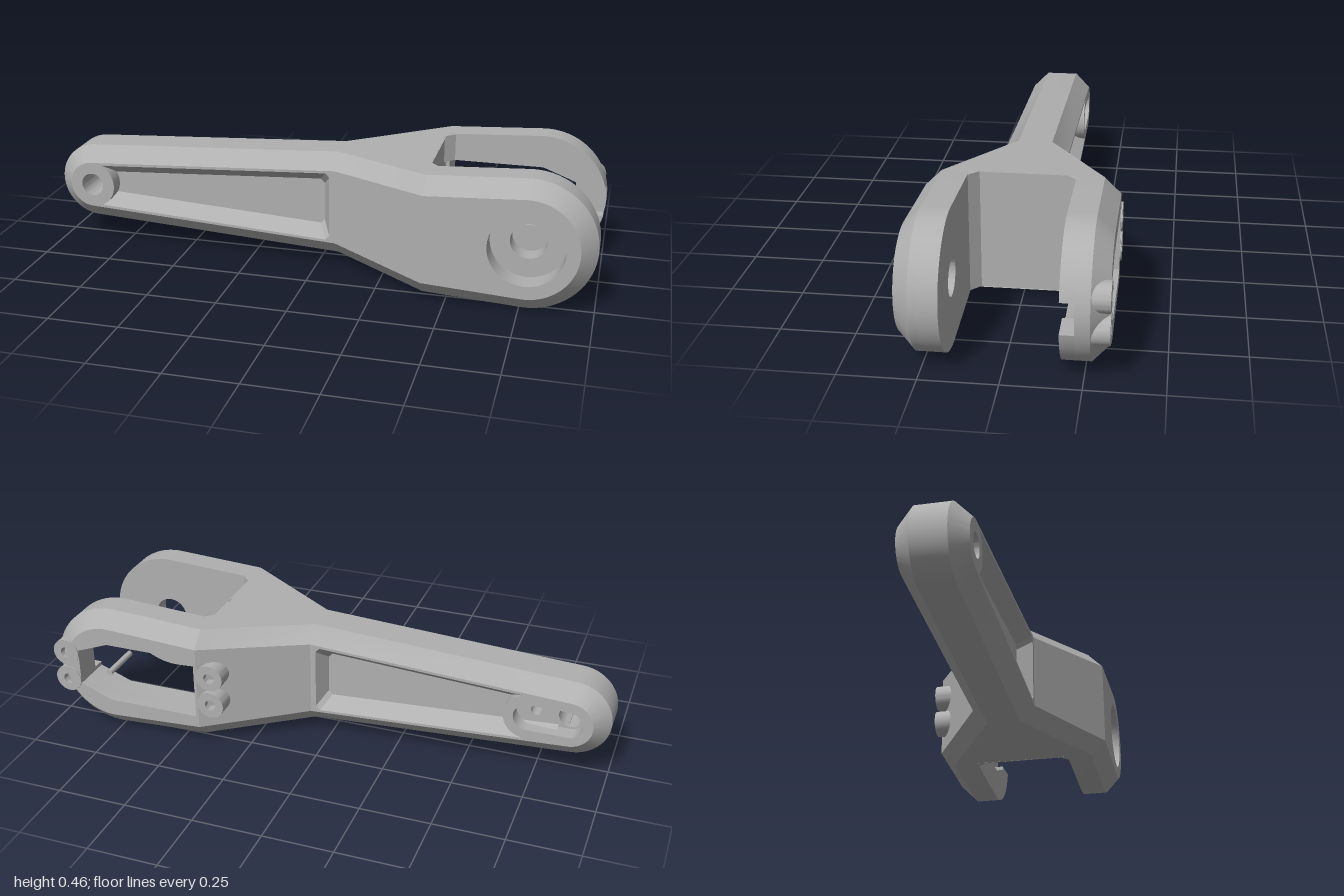
import * as THREE from 'three';
import { toCreasedNormals } from 'three/addons/utils/BufferGeometryUtils.js';

// Main dimensions: tapered outline between a small and a big round end
const CY = 0.232, SX = -0.86, SR = 0.14, BX = 0.768, BR = 0.232;
const TILT = Math.asin((BR - SR) / (BX - SX));
const X0 = 0.07, XF = 0.42;          // ramp start, fork start
const INSET = 0.055, GAP = 0.178;    // chamfer size, half width of the fork gap

const V2 = (x, y) => new THREE.Vector2(x, y);
const half = (x, d) => (SR - d + Math.sin(TILT) * (x - SX)) / Math.cos(TILT);
const ramp = (x) => 0.21 * THREE.MathUtils.clamp((x - X0) / (XF - X0), 0, 1);
const faceZ = (x) => 0.115 + ramp(x);
const sideZ = (x) => 0.06 + ramp(x);

function arc(cx, cy, r, a0, a1, n = 32) {
  const pts = [];
  for (let i = 0; i <= n; i++) {
    const a = a0 + (a1 - a0) * i / n;
    pts.push(V2(cx + r * Math.cos(a), cy + r * Math.sin(a)));
  }
  return pts;
}
const circle = (x, y, r) => arc(x, y, r, 0, Math.PI * 2, 40).slice(0, -1);
const slot = (xa, xb, r) => [
  ...arc(xb, CY, r, -Math.PI / 2, Math.PI / 2, 16),
  ...arc(xa, CY, r, Math.PI / 2, Math.PI * 1.5, 16),
];
const thinLine = (d) => [
  V2(X0, CY + half(X0, d)),
  ...arc(SX, CY, SR - d, Math.PI / 2 + TILT, Math.PI * 1.5 - TILT),
  V2(X0, CY - half(X0, d)),
];
const bodyLine = (d) => [V2(XF, CY + half(XF, d)), ...thinLine(d), V2(XF, CY - half(XF, d))];
const BIG = Math.PI / 2 + TILT;
const forkLine = (d) => [
  V2(XF, CY - half(XF, d)), ...arc(BX, CY, BR - d, -BIG, BIG, 48), V2(XF, CY + half(XF, d)),
];
const pocketLine = (d, xr, xl) => {
  const h = half(xr, d), c = 0.015;
  return [
    V2(xl, CY - half(xl, d)), V2(xr - c, CY - h), V2(xr, CY - h + c),
    V2(xr, CY + h - c), V2(xr - c, CY + h), V2(xl, CY + half(xl, d)),
  ];
};

export function createModel() {
  const group = new THREE.Group();
  const grey = new THREE.MeshStandardMaterial({ color: 0xb0b0b0, side: THREE.DoubleSide });
  grey.name = 'plain grey';

  function add(name, geometry) {
    const mesh = new THREE.Mesh(toCreasedNormals(geometry, 0.4), grey);
    mesh.name = name;
    group.add(mesh);
    return mesh;
  }
  function shapeOf(pts, holes = []) {
    const s = new THREE.Shape(pts);
    s.holes = holes.map((h) => new THREE.Path(h));
    return s;
  }
  // Flat face whose z follows a rule in x
  function face(name, pts, holes, z) {
    const g = new THREE.ShapeGeometry(shapeOf(pts, holes));
    const p = g.attributes.position;
    for (let i = 0; i < p.count; i++) p.setZ(i, z(p.getX(i)));
    add(name, g);
  }
  function solid(name, pts, holes, z0, z1) {
    const g = new THREE.ExtrudeGeometry(shapeOf(pts, holes), { depth: z1 - z0, bevelEnabled: false });
    return add(name, g.translate(0, 0, z0));
  }
  // Strip of quads between two lines with equal point counts
  function strip(name, a, za, b, zb) {
    const pos = [], idx = [], n = a.length;
    for (let i = 0; i < n; i++) {
      pos.push(a[i].x, a[i].y, za(a[i].x), b[i].x, b[i].y, zb(b[i].x));
      if (i < n - 1) idx.push(2 * i, 2 * i + 2, 2 * i + 1, 2 * i + 1, 2 * i + 2, 2 * i + 3);
    }
    const g = new THREE.BufferGeometry();
    g.setAttribute('position', new THREE.Float32BufferAttribute(pos, 3));
    g.setIndex(idx);
    add(name, g);
  }

  // Arm body: edge band, chamfers, outer faces and recessed pockets
  strip('armEdge', bodyLine(0), sideZ, bodyLine(0), (x) => -sideZ(x));
  for (const s of [1, -1]) {
    const zf = (x) => s * faceZ(x), zs = (x) => s * sideZ(x), floor = () => s * 0.06;
    strip('armChamfer', bodyLine(0), zs, bodyLine(INSET), zf);
    strip('forkChamfer', forkLine(0), zs, forkLine(INSET), zf);
    const hole = [
      ...pocketLine(0.065, 0.05, SX),
      ...arc(SX, CY, SR - 0.065, Math.PI / 2, Math.PI * 1.5, 20).slice(1, -1),
    ];
    face('armFace', thinLine(INSET), [hole], zf);
    const h0 = half(X0, INSET), h1 = half(XF, INSET);
    face('rampFace', [V2(X0, CY - h0), V2(XF, CY - h1), V2(XF, CY + h1), V2(X0, CY + h0)], [], zf);
    strip('pocketWall', pocketLine(0.065, 0.05, -0.82), zf, pocketLine(0.105, 0.02, -0.82), floor);
    face('pocketFloor', pocketLine(0.105, 0.02, s > 0 ? -0.8 : -0.65), [], floor);
  }

  // Small end: round eye in front, slotted recess behind
  solid('smallEye', circle(SX, CY, 0.085), [circle(SX, CY, 0.042)], -0.04, 0.115);
  solid('slotRim', slot(SX, -0.72, 0.085), [slot(SX, -0.72, 0.05)], -0.115, -0.035);
  solid('slotFloor', slot(SX, -0.72, 0.052), [circle(SX, CY, 0.042), circle(-0.74, CY, 0.02)], -0.055, 0);

  // Fork gap: end wall and corner webs
  const wallH = 2 * half(XF, 0);
  const wall = add('gapWall', new THREE.PlaneGeometry(2 * GAP, wallH).rotateY(Math.PI / 2));
  wall.position.set(XF - 0.005, CY, 0);
  function web(s, y0, y1) {
    const tri = [V2(XF - 0.006, s * GAP), V2(XF - 0.006, s * 0.143), V2(XF + 0.03, s * GAP)];
    const g = new THREE.ExtrudeGeometry(shapeOf(tri), { depth: y1 - y0, bevelEnabled: false });
    g.rotateX(Math.PI / 2);
    add('cornerWeb', g).position.y = y1;
  }
  const WY0 = 0.118, WY1 = 0.346;
  web(1, CY - wallH / 2, CY + wallH / 2);
  web(-1, CY - wallH / 2, WY0);
  web(-1, WY1, CY + wallH / 2);

  // Front fork plate with counterbored hole
  const bore = circle(BX, CY, 0.13);
  solid('frontForkInner', forkLine(0), [circle(BX, CY, 0.062)], GAP, 0.245);
  solid('frontForkOuter', forkLine(0), [bore], 0.245, 0.27);
  face('frontForkFace', forkLine(INSET), [bore], faceZ);
  strip('boreWall', [...bore, bore[0]], () => 0.27, [...bore, bore[0]], () => 0.325);

  // Back fork plate with window and a notch through its tip
  const windowLine = [
    V2(0.89, 0.165), V2(0.77, WY0), V2(0.43, WY0), V2(0.43, WY1), V2(0.77, WY1), V2(0.89, 0.3),
  ];
  const na = Math.asin(0.053 / BR);
  const notched = [
    V2(XF, CY - half(XF, 0)), ...arc(BX, CY, BR, -BIG, -na, 24), V2(0.89, CY - 0.053),
    ...windowLine,
    V2(0.89, CY + 0.053), ...arc(BX, CY, BR, na, BIG, 24), V2(XF, CY + half(XF, 0)),
  ];
  solid('backForkInner', notched, [], -0.223, -GAP);
  solid('backForkOuter', forkLine(0), [windowLine], -0.27, -0.223);
  face('backForkFace', forkLine(INSET), [windowLine], (x) => -faceZ(x));
  const closed = [...windowLine, windowLine[0]];
  strip('windowWall', closed, () => -0.27, closed, () => -0.325);

  // Screw bosses around the window
  for (const x of [0.37, 0.94]) {
    for (const dy of [-0.054, 0.054]) {
      solid('screwBoss', circle(x, CY + dy, 0.05), [circle(x, CY + dy, 0.02)], -0.329, x < 0.5 ? -0.2 : -0.265);
    }
  }

  // Thin pivot pins
  solid('pivotPin', circle(BX, CY, 0.011), [], -0.325, -0.172);
  solid('smallPin', circle(SX, CY, 0.004), [], -0.1, -0.04);
  return group;
}
